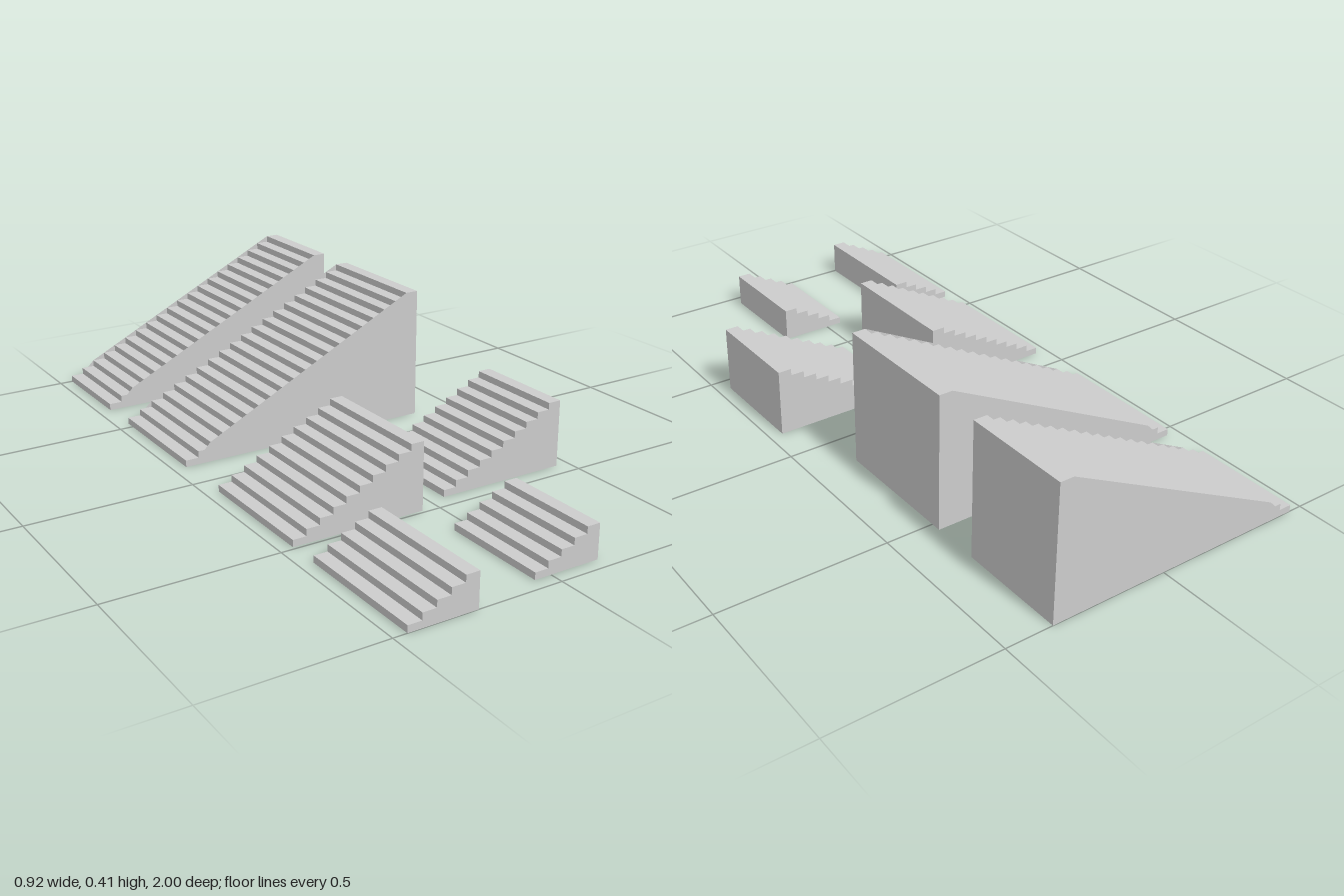
import * as THREE from 'three';

const U = 2 / 98; // one riser height; a tread is two risers deep

const grey = new THREE.MeshStandardMaterial({ color: 0xcccccc, flatShading: true });
const thin = new THREE.MeshStandardMaterial({ color: 0xcccccc, flatShading: true, side: THREE.DoubleSide });

const shapeOf = (pts) => new THREE.Shape(pts.map(([x, y]) => new THREE.Vector2(x * U, y * U)));

// Solid flight: stepped profile extruded across its width
function stepsGeometry(count, width) {
  const pts = [[0, 0]];
  for (let i = 0; i < count; i++) pts.push([2 * i, i + 1], [2 * i + 2, i + 1]);
  pts.push([2 * count, 0]);
  return new THREE.ExtrudeGeometry(shapeOf(pts), { depth: width * U, bevelEnabled: false });
}

// Thin side skin filling the notches up to the line of the step noses
function skinGeometry(count) {
  const shapes = [shapeOf([[3, 2], [4, 2], [4, 3]])];
  for (let i = 2; i < count - 1; i++) {
    shapes.push(shapeOf([[2 * i, i + 1], [2 * i + 2, i + 1], [2 * i + 2, i + 2]]));
  }
  return new THREE.ShapeGeometry(shapes);
}

function staircase({ name, count, x, z, width, skinned }) {
  const group = new THREE.Group();
  group.name = name;
  group.position.set(x * U, 0, z * U);

  const steps = new THREE.Mesh(stepsGeometry(count, width), grey);
  steps.name = 'steps';
  group.add(steps);

  if (skinned) {
    for (const [side, depth] of [['backSideSkin', 0], ['frontSideSkin', width]]) {
      const skin = new THREE.Mesh(skinGeometry(count), thin);
      skin.name = side;
      skin.position.z = depth * U;
      group.add(skin);
    }
  }
  return group;
}

export function createModel() {
  const model = new THREE.Group();
  model.name = 'staircaseSet';
  // Positions and widths are in risers; x is the foot, z the back edge
  const flights = [
    { name: 'tallNarrowStairs', count: 20, x: -22.5, z: -49, width: 16, skinned: true },
    { name: 'tallWideStairs', count: 20, x: -22.5, z: -26, width: 20, skinned: true },
    { name: 'mediumWideStairs', count: 10, x: -22.5, z: 4, width: 20 },
    { name: 'mediumNarrowStairs', count: 10, x: 2.5, z: 6, width: 16 },
    { name: 'shortWideStairs', count: 5, x: -22.5, z: 29, width: 20 },
    { name: 'shortNarrowStairs', count: 5, x: -2.5, z: 31, width: 16 },
  ];
  for (const flight of flights) model.add(staircase(flight));
  return model;
}
